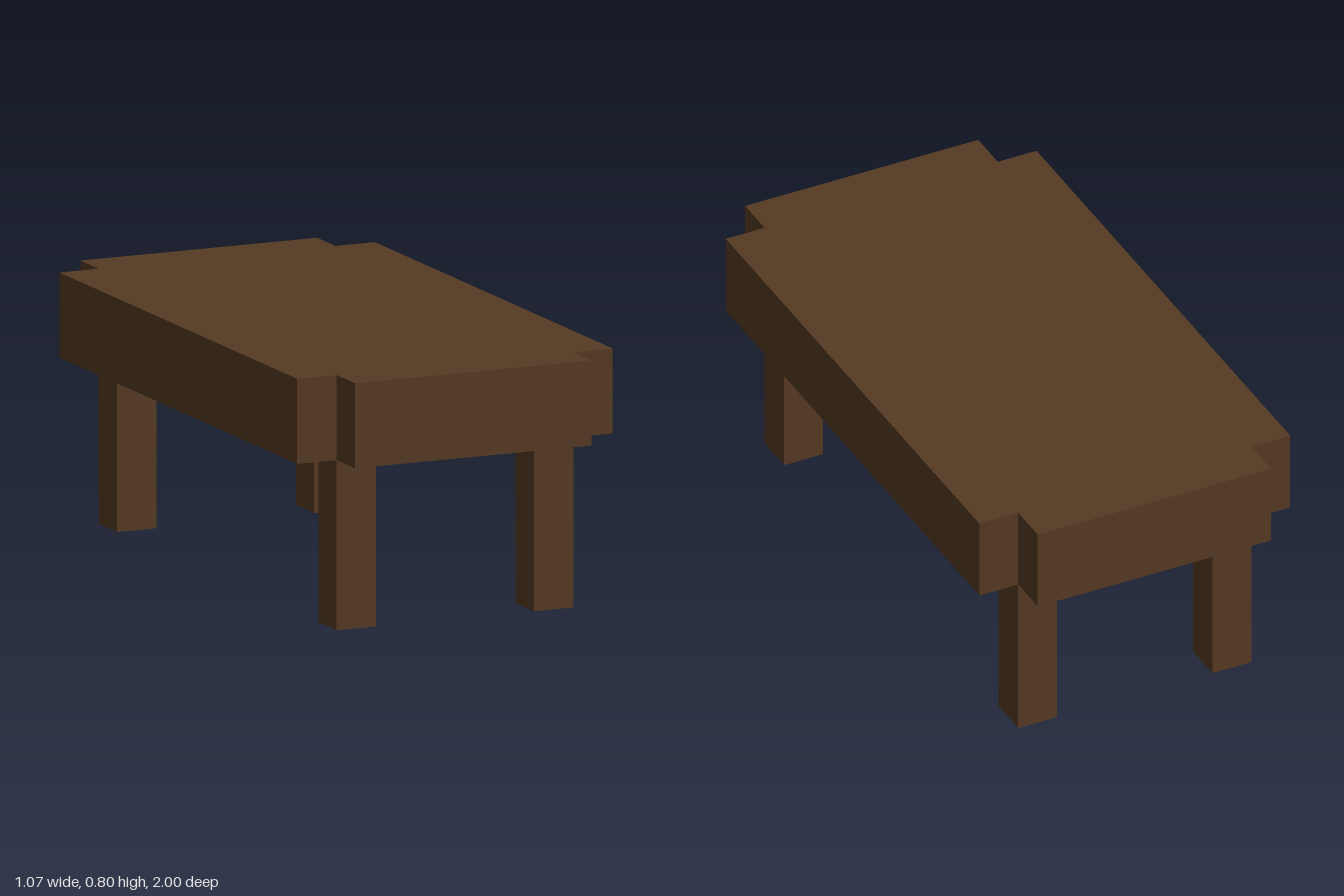
import * as THREE from 'three';

const U = 2 / 15; // base module: leg thickness and corner notch

export function createModel() {
  const group = new THREE.Group();
  group.name = 'table';
  const wood = new THREE.MeshStandardMaterial({ color: 0x553a23 });
  wood.name = 'dark wood';

  // Thick slab top with a square notch cut from each corner
  const w = 4 * U, d = 7.5 * U, n = U;
  const outline = new THREE.Shape([
    [w - n, -d], [w - n, -d + n], [w, -d + n],
    [w, d - n], [w - n, d - n], [w - n, d],
    [-w + n, d], [-w + n, d - n], [-w, d - n],
    [-w, -d + n], [-w + n, -d + n], [-w + n, -d],
  ].map(([x, y]) => new THREE.Vector2(x, y)));
  const topGeometry = new THREE.ExtrudeGeometry(outline, { depth: 2 * U, bevelEnabled: false });
  topGeometry.rotateX(-Math.PI / 2);
  const top = new THREE.Mesh(topGeometry, wood);
  top.name = 'tableTop';
  top.position.y = 4 * U;
  group.add(top);

  // Four square legs, set just inside the notches
  const legGeometry = new THREE.BoxGeometry(U, 4 * U, U);
  for (const [sx, side] of [[1, 'Left'], [-1, 'Right']]) {
    for (const [sz, end] of [[1, 'front'], [-1, 'back']]) {
      const leg = new THREE.Mesh(legGeometry, wood);
      leg.name = `${end}${side}Leg`;
      leg.position.set(sx * 2.5 * U, 2 * U, sz * 6 * U);
      group.add(leg);
    }
  }
  return group;
}
